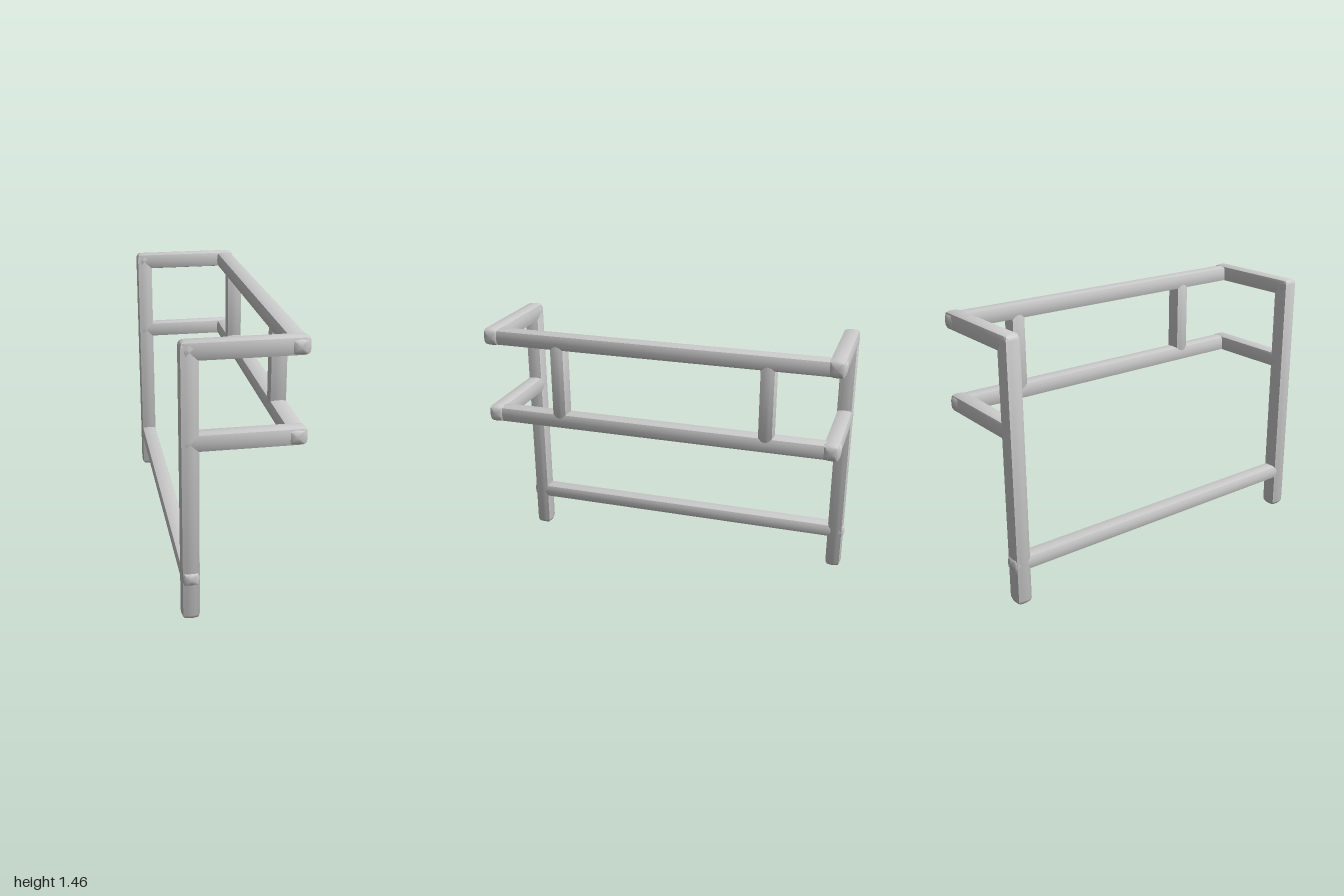
import * as THREE from 'three';
import { toCreasedNormals } from 'three/addons/utils/BufferGeometryUtils.js';

// One quarter of the bulged square section; the quarter is rotated four times
const QUARTER = [[1, 0], [0.97, 0.45], [0.86, 0.86], [0.45, 0.97]];
const SECTION = [];
for (let q = 0; q < 4; q++) {
  for (const [a, b] of QUARTER) {
    SECTION.push([[a, b], [-b, a], [-a, -b], [b, -a]][q]);
  }
}

const material = new THREE.MeshStandardMaterial({ color: 0xcccccc });

// A bar along an axis ('x', 'y' or 'z') with softly pillowed ends.
// half gives the half thickness in x, y and z; the value on the axis is half the length.
function bar(name, axis, center, half) {
  const w = 'xyz'.indexOf(axis), u = (w + 1) % 3, v = (w + 2) % 3;
  const L = half[w], n = SECTION.length;
  const rings = [
    [-L, 0], [-L + 0.005, 0.72], [-L + 0.012, 0.87], [-L + 0.028, 1],
    [L - 0.028, 1], [L - 0.012, 0.87], [L - 0.005, 0.72], [L, 0],
  ];
  const positions = [], index = [];
  rings.forEach(([t, s], r) => {
    SECTION.forEach(([a, b], i) => {
      const p = [0, 0, 0];
      p[u] = a * s * half[u];
      p[v] = b * s * half[v];
      p[w] = t;
      positions.push(...p);
      if (r === rings.length - 1) return;
      const j = (i + 1) % n;
      const A = r * n + i, B = r * n + j, C = A + n, D = B + n;
      if (r > 0) index.push(A, B, D);
      if (r < rings.length - 2) index.push(A, D, C);
      else index.pop(), index.pop(), index.pop(), index.push(A, B, C);
    });
  });
  const geometry = new THREE.BufferGeometry();
  geometry.setAttribute('position', new THREE.Float32BufferAttribute(positions, 3));
  geometry.setIndex(index);
  const mesh = new THREE.Mesh(toCreasedNormals(geometry, 0.7), material);
  mesh.name = name;
  mesh.position.set(...center);
  return mesh;
}

export function createModel() {
  const model = new THREE.Group();
  model.name = 'railFrame';

  // Two tall posts, each with two arms reaching sideways
  for (const [end, s] of [['front', 1], ['back', -1]]) {
    model.add(bar(end + 'Post', 'y', [-0.263, 0.732, s * 0.946], [0.048, 0.732, 0.045]));
    model.add(bar(end + 'UpperArm', 'x', [0, 1.416, s * 0.946], [0.31, 0.048, 0.045]));
    model.add(bar(end + 'LowerArm', 'x', [0, 0.965, s * 0.946], [0.31, 0.047, 0.045]));
  }

  // Long rails joining the arm ends
  model.add(bar('upperRail', 'z', [0.254, 1.414, 0], [0.048, 0.044, 0.996]));
  model.add(bar('lowerRail', 'z', [0.254, 0.964, 0], [0.048, 0.044, 0.996]));

  // Low crossbar between the posts
  model.add(bar('crossbar', 'z', [-0.263, 0.237, 0], [0.046, 0.04, 1]));

  // Short struts between the two rails
  model.add(bar('frontStrut', 'y', [0.254, 1.19, 0.56], [0.047, 0.235, 0.042]));
  model.add(bar('backStrut', 'y', [0.254, 1.19, -0.6], [0.047, 0.235, 0.042]));

  return model;
}
